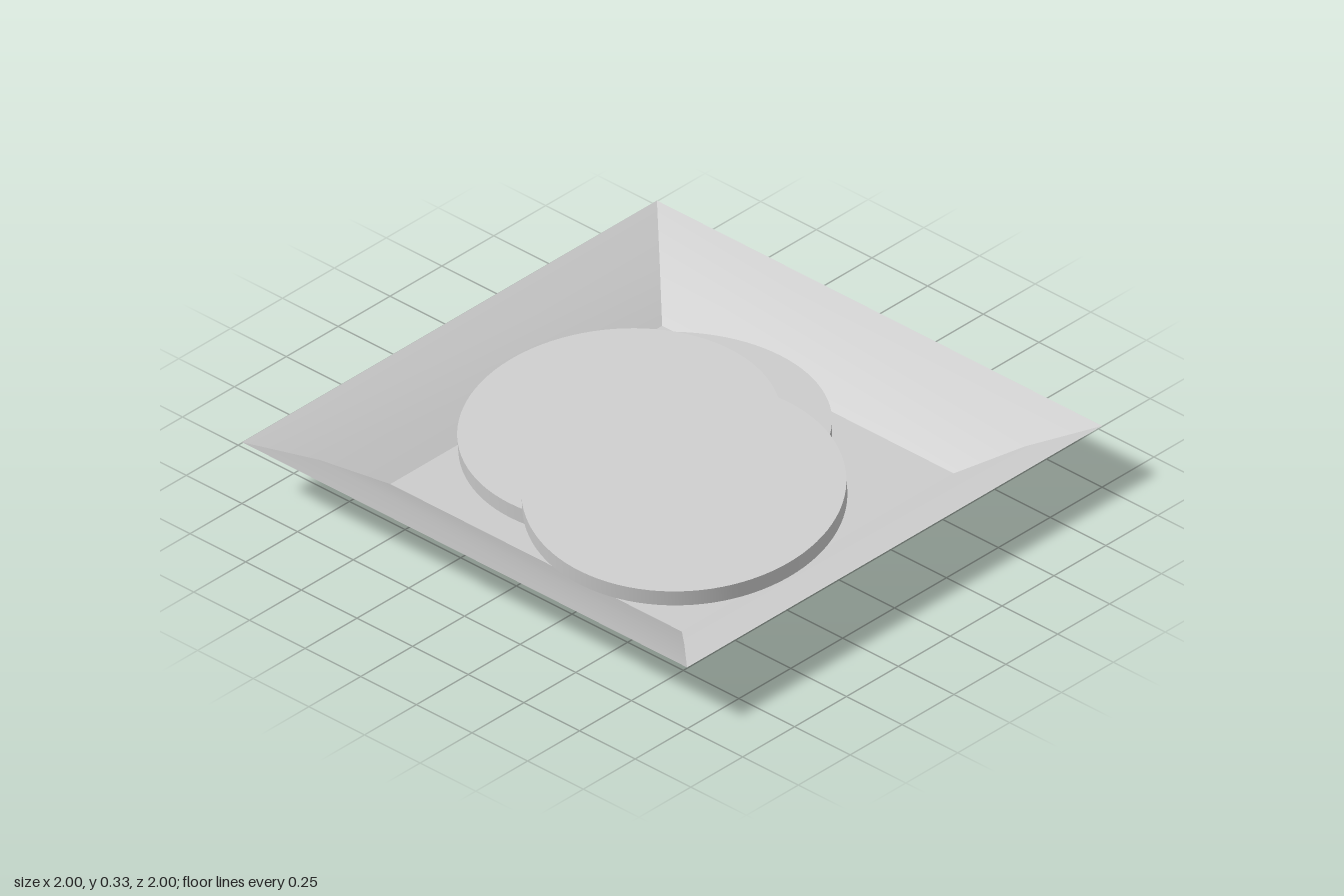
import * as THREE from 'three';
import { toCreasedNormals } from 'three/addons/utils/BufferGeometryUtils.js';

const material = new THREE.MeshStandardMaterial({ color: 0xcccccc });

// Square tray: a four-sided lathe, profile given as [half width, height]
function makeTray() {
  const profile = [
    [0, 0], [0.72, 0], [1, 0.24],            // underside and outer wall
    [0.82, 0.165], [0.655, 0.065], [0, 0.065], // inner wall and floor
  ].map(([half, y]) => new THREE.Vector2(half * Math.SQRT2, y));
  const geometry = new THREE.LatheGeometry(profile, 4).rotateY(Math.PI / 4);
  const tray = new THREE.Mesh(toCreasedNormals(geometry, 0.5), material);
  tray.name = 'tray';
  return tray;
}

// Flat disc placed by its top centre; rise is its slope along x and z
function makeDisc(name, [x, y, z], [riseX, riseZ]) {
  const radius = 0.535, thickness = 0.06;
  const disc = new THREE.Mesh(
    new THREE.CylinderGeometry(radius, radius, thickness, 96), material);
  const up = new THREE.Vector3(-riseX, 1, -riseZ).normalize();
  disc.quaternion.setFromUnitVectors(new THREE.Vector3(0, 1, 0), up);
  disc.position.set(x, y, z).addScaledVector(up, -thickness / 2);
  disc.name = name;
  return disc;
}

export function createModel() {
  const group = new THREE.Group();
  group.name = 'trayWithDiscs';
  group.add(
    makeTray(),
    // Three discs leaning on one another
    makeDisc('bottomDisc', [0.18, 0.13, -0.18], [0, 0]),
    makeDisc('middleDisc', [-0.065, 0.225, -0.175], [0.093, 0]),
    makeDisc('topDisc', [-0.23, 0.262, 0.268], [0.128, -0.05]),
  );
  return group;
}
